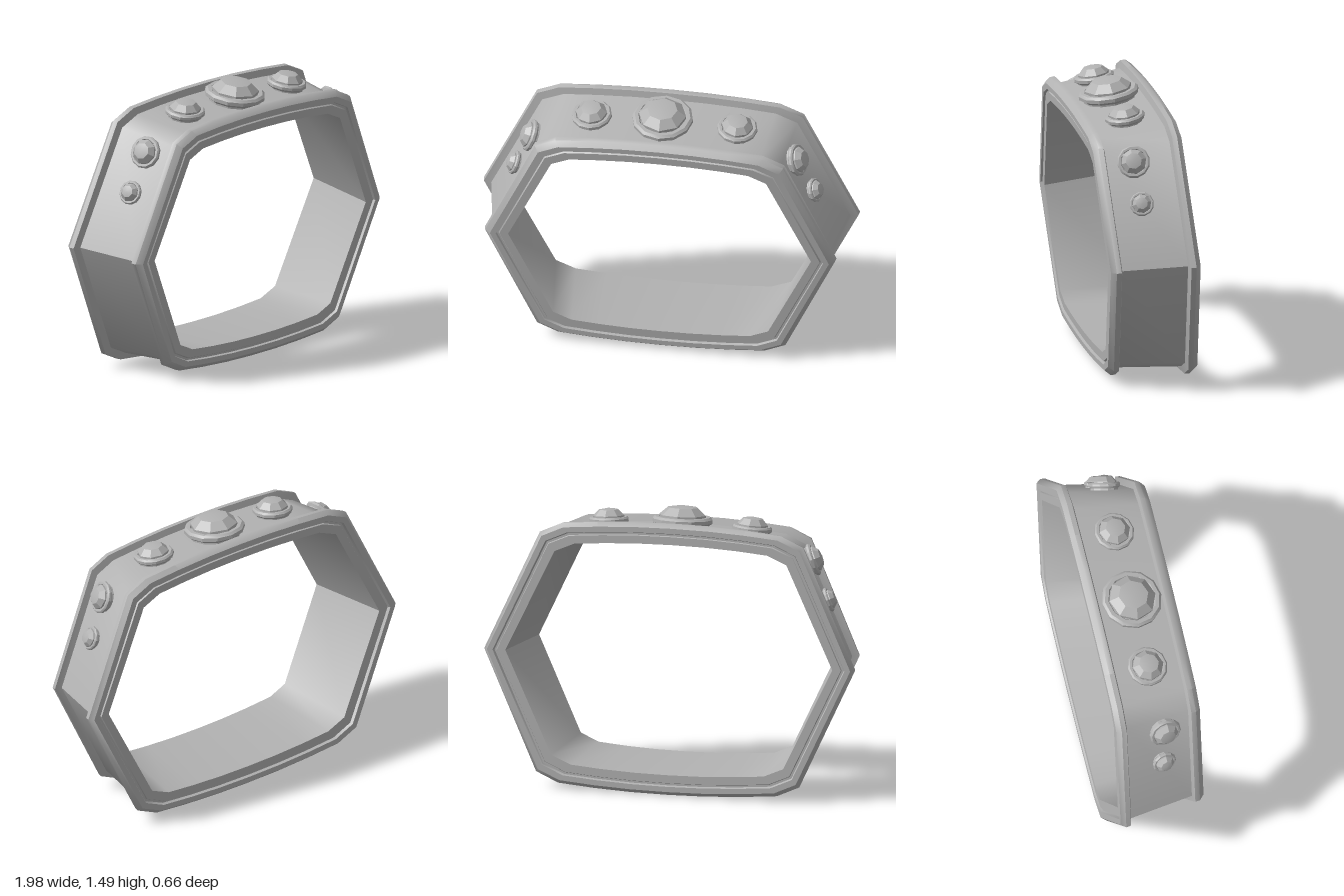
import * as THREE from 'three';
import { toCreasedNormals } from 'three/addons/utils/BufferGeometryUtils.js';

const metal = new THREE.MeshStandardMaterial({ color: 0xb2b2b2 });
metal.name = 'grey metal';

// Half-width and half-height of the band, tapering toward the front
const halfW = (z) => 0.96 - 0.17 * z;
const halfH = (z) => 0.705 - 0.085 * z;

// Unit outline: pointed sides, bevelled corners, gently bowed top and bottom
function outline() {
  const quarter = [[1, 0], [0.71, 0.885], [0.59, 0.96], [0.4, 0.982], [0.2, 0.996]];
  const half = [...quarter, [0, 1], ...quarter.slice(1).reverse().map(([x, y]) => [-x, y])];
  return [...half, ...half.map(([x, y]) => [-x, -y])];
}

// Closed section swept round the outline; each point is [inset, z]
function bandGeometry() {
  const rim = [[0.035, 0.17], [0, 0.18], [0, 0.206], [0.022, 0.232], [0.05, 0.232],
    [0.054, 0.217], [0.064, 0.217], [0.068, 0.225], [0.11, 0.225]];
  const section = [...rim, ...rim.slice().reverse().map(([d, z]) => [d, -z])];
  const ring = outline(), n = ring.length, m = section.length;
  const pos = [], index = [];
  for (const [d, z] of section) {
    for (const [x, y] of ring) pos.push(x * (halfW(z) - 1.1 * d), y * (halfH(z) - d), z);
  }
  for (let j = 0; j < m; j++) {
    for (let i = 0; i < n; i++) {
      const i2 = (i + 1) % n, j2 = (j + 1) % m;
      const a = j * n + i, b = j * n + i2, c = j2 * n + i2, e = j2 * n + i;
      index.push(a, b, c, a, c, e);
    }
  }
  const g = new THREE.BufferGeometry();
  g.setAttribute('position', new THREE.Float32BufferAttribute(pos, 3));
  g.setIndex(index);
  return toCreasedNormals(g, 0.74);
}

function lathe(points, sides) {
  const g = new THREE.LatheGeometry(points.map(([r, y]) => new THREE.Vector2(r, y)), sides);
  return toCreasedNormals(g, 0.4);
}

// Round setting with a faceted gem, standing along +y
function makeStud(name, r, h) {
  const stud = new THREE.Group();
  stud.name = name;
  const setting = new THREE.Mesh(lathe([[0.86, -0.15], [0.86, 0.08], [1, 0.22], [1, 0.38],
    [0.92, 0.48], [0.8, 0.48], [0.76, 0.4], [0, 0.4]].map(([a, b]) => [a * r, b * h]), 12), metal);
  setting.name = 'setting';
  const gem = new THREE.Mesh(lathe([[0.78, 0.4], [0.78, 0.56], [0.5, 0.9], [0, 1]]
    .map(([a, b]) => [a * r, b * h]), 8), metal);
  gem.name = 'gem';
  stud.add(setting, gem);
  return stud;
}

export function createModel() {
  const model = new THREE.Group();
  model.name = 'bracelet';
  const bracelet = new THREE.Group();
  bracelet.name = 'tiltedBracelet';
  bracelet.rotation.set(0.068, -0.092, 0, 'YXZ');
  bracelet.position.set(-0.023, 0.71, 0);
  model.add(bracelet);

  const band = new THREE.Mesh(bandGeometry(), metal);
  band.name = 'band';
  bracelet.add(band);

  const up = new THREE.Vector3(0, 1, 0);
  const place = (name, r, h, p, normal) => {
    const stud = makeStud(name, r, h);
    stud.position.set(...p);
    stud.quaternion.setFromUnitVectors(up, new THREE.Vector3(...normal).normalize());
    bracelet.add(stud);
  };

  // Studs on the top: a large one between two medium ones
  place('centreStud', 0.16, 0.115, [-0.01, 0.668, 0], [0, 1, 0.085]);
  for (const s of [-1, 1]) {
    const side = s > 0 ? 'left' : 'right';
    place(side + 'TopStud', 0.106, 0.09, [s * 0.383, 0.655, 0], [s * 0.06, 1, 0.085]);
    // Smaller studs down each slanted side
    place(side + 'UpperSideStud', 0.086, 0.075, [s * 0.686, 0.52, 0.03], [s * 0.916, 0.402, 0.16]);
    place(side + 'LowerSideStud', 0.064, 0.06, [s * 0.778, 0.315, 0.02], [s * 0.916, 0.402, 0.16]);
  }
  return model;
}
